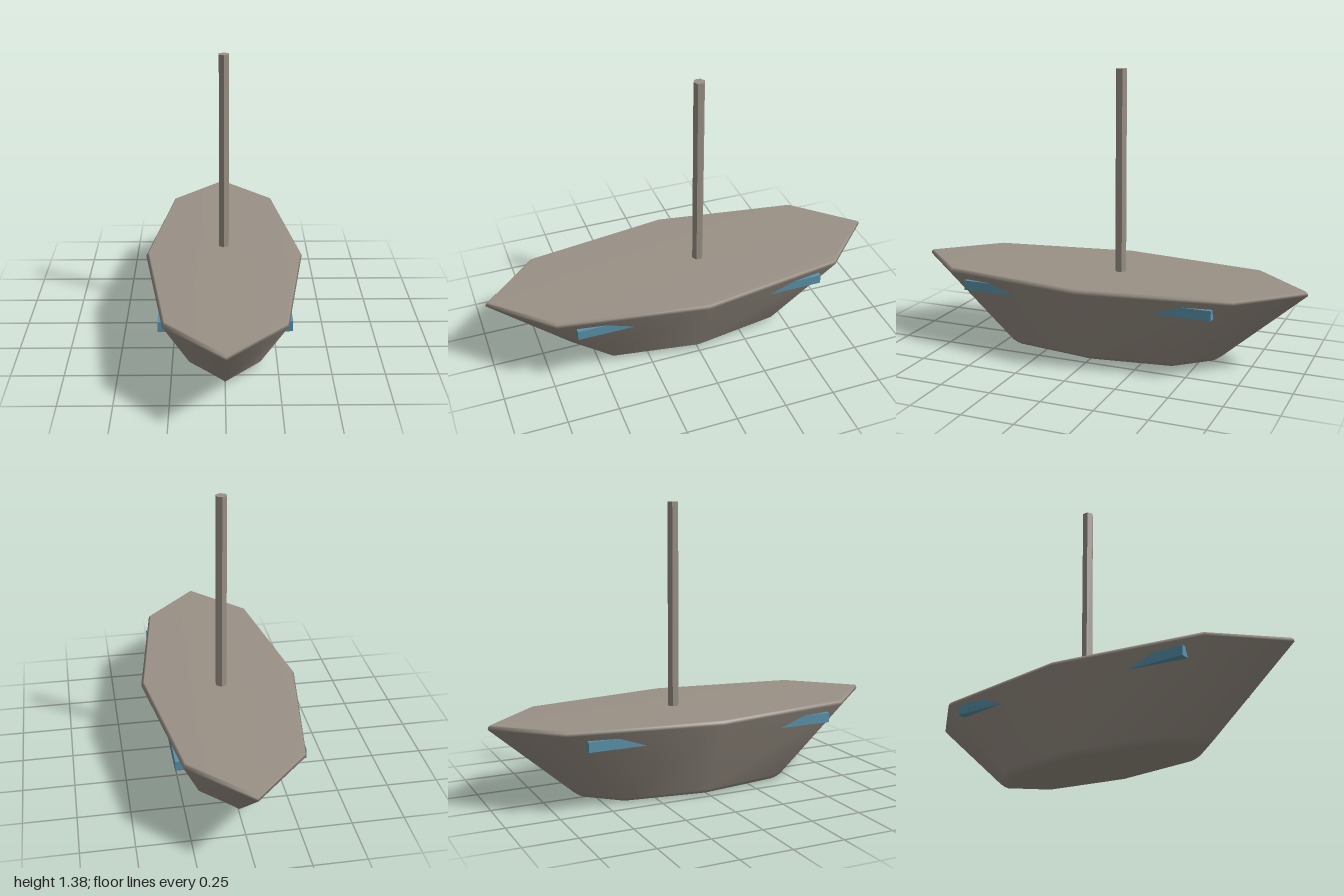
import * as THREE from 'three';

const hullGrey = new THREE.MeshStandardMaterial({ color: 0x9a9186 });
hullGrey.name = 'warm grey';
const portBlue = new THREE.MeshStandardMaterial({ color: 0x5a92ab });
portBlue.name = 'steel blue';

// Eight-cornered plan outline, starting at the bow and running towards +x
const outline = [[0, 1], [0.275, 0.72], [0.388, 0], [0.275, -0.72], [0, -1], [-0.275, -0.72], [-0.388, 0], [-0.275, 0.72]];

// Hull cross-sections from keel to deck: height, scale in x, scale in z
const sections = [[0, 0.5, 0.55], [0.01, 0.55, 0.572], [0.03, 0.61, 0.6], [0.38, 1, 1], [0.393, 0.98, 0.997], [0.4, 0.962, 0.988]];

function hullGeometry() {
  const n = outline.length, position = [], index = [];
  for (const [y, sx, sz] of sections) {
    for (const [x, z] of outline) position.push(x * sx, y, z * sz);
  }
  for (let r = 0; r < sections.length - 1; r++) {
    for (let i = 0; i < n; i++) {
      const a = r * n + i, b = r * n + (i + 1) % n;
      index.push(a, b, b + n, a, b + n, a + n);
    }
  }
  // Flat bottom and deck, fanned from their centres
  const bottom = position.length / 3, deck = bottom + 1, top = (sections.length - 1) * n;
  position.push(0, 0, 0, 0, 0.4, 0);
  for (let i = 0; i < n; i++) {
    const j = (i + 1) % n;
    index.push(bottom, j, i, deck, top + i, top + j);
  }
  const g = new THREE.BufferGeometry();
  g.setAttribute('position', new THREE.Float32BufferAttribute(position, 3));
  g.setIndex(index);
  g.computeVertexNormals();
  return g;
}

export function createModel() {
  const model = new THREE.Group();
  model.name = 'boat';
  const add = (name, geometry, material, x, y, z) => {
    const mesh = new THREE.Mesh(geometry, material);
    mesh.name = name;
    mesh.position.set(x, y, z);
    model.add(mesh);
  };

  add('hull', hullGeometry(), hullGrey, 0, 0, 0);

  // Hexagonal mast, just aft of the middle
  const mast = new THREE.CylinderGeometry(0.028, 0.028, 1.035, 6).toNonIndexed();
  mast.computeVertexNormals();
  add('mast', mast, hullGrey, 0, 0.8675, -0.08);

  // Four blocks let into the hull sides
  const block = new THREE.BoxGeometry(0.1, 0.048, 0.3);
  for (const [side, sx] of [['left', 1], ['right', -1]]) {
    for (const [end, sz] of [['Front', 1], ['Back', -1]]) {
      add(side + end + 'Block', block, portBlue, sx * 0.25, 0.328, sz * 0.478);
    }
  }
  return model;
}
